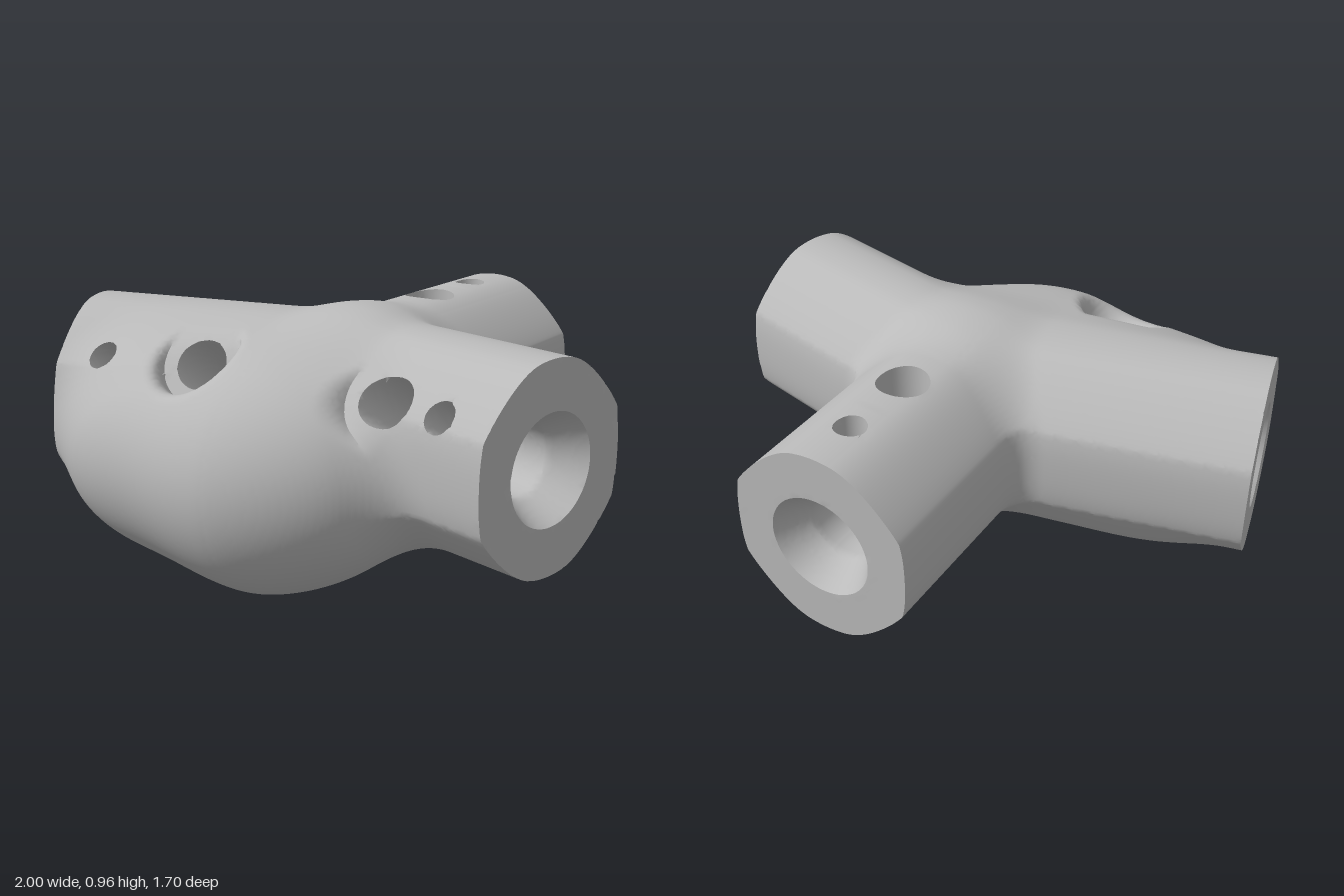
import * as THREE from 'three';
import { toCreasedNormals } from 'three/addons/utils/BufferGeometryUtils.js';

// Three arms meet at one hub. dir: axis, side: horizontal perpendicular, drill: screw hole direction
const HUB = new THREE.Vector3(0.085, 0.57, 0.087);
const UP = new THREE.Vector3(0, 1, 0);
function arm(dx, dz, length, sx, sz, drillAngle) {
  const side = new THREE.Vector3(sx, 0, sz);
  const drill = side.clone().multiplyScalar(Math.cos(drillAngle)).addScaledVector(UP, Math.sin(drillAngle));
  return { dx, dz, length, sx, sz, drill };
}
const ARMS = [
  arm(0.974, 0.227, 0.862, -0.227, 0.974, 0.56),
  arm(-0.974, 0.227, 1.037, 0.227, 0.974, 0.56),
  arm(0, -1, 0.937, 1, 0, Math.PI / 2),
];

// Solid-modelling helpers on signed distances
function smoothMin(a, b, k) {
  const h = Math.max(k - Math.abs(a - b), 0) / k;
  return Math.min(a, b) - h * h * k / 4;
}
const smoothMax = (a, b, k) => -smoothMin(-a, -b, k);
const ball = (x, y, z, cx, cy, cz, r) => Math.hypot(x - cx, y - cy, z - cz) - r;

// Radial hole drilled from an arm's axis outwards, beginning at height start
function drilled(A, a, s, t, along, radius, start) {
  const sinD = A.drill.y, cosD = Math.sqrt(Math.max(0, 1 - sinD * sinD));
  const out = s * cosD + t * sinD, across = t * cosD - s * sinD;
  return Math.max(Math.hypot(a - along, across) - radius, start - out);
}

function connector(x, y, z) {
  const px = x - HUB.x, t = y - HUB.y, pz = z - HUB.z;
  const local = ARMS.map((A) => [px * A.dx + pz * A.dz, px * A.sx + pz * A.sz]);

  // Arms: round bars, softly flattened at the sides and on the diagonals
  let body = 10;
  for (const [a, s] of local) {
    const round = Math.hypot(s, t, Math.min(a, 0)) - 0.35;
    const flat = Math.max(Math.abs(s) - 0.327, (Math.abs(s) + Math.abs(t)) * 0.7071 - 0.342);
    body = smoothMin(body, smoothMax(round, Math.max(flat, -a - 0.35), 0.05), 0.09);
  }

  // Swollen front: a main bulge easing into a lobe on one side and the arm on the other
  const main = smoothMin(
    ball(x, y, z, -0.05, 0.43, 0.415, 0.43),
    ball(x, y, z, 0.18, 0.47, 0.37, 0.335), 0.15);
  const bulge = smoothMin(main, ball(x, y, z, -0.53, 0.435, 0.42, 0.36), 0.28);
  body = smoothMin(body, bulge, 0.15);

  // Flat ends, tapered bores, screw holes and their recesses
  ARMS.forEach((A, i) => {
    const [a, s] = local[i];
    const depth = A.length - a, r = Math.hypot(s, t);
    body = smoothMax(body, -drilled(A, a, s, t, 0.445, 0.14, 0.385), 0.05);
    body = Math.max(body, -depth);
    const mouth = (r - 0.185 + depth * 0.54) * 0.88;
    const bore = Math.max(r - 0.12, 0.32 - a);
    const large = drilled(A, a, s, t, 0.445, 0.09, 0);
    const small = drilled(A, a, s, t, A.length - 0.2, 0.055, 0);
    body = Math.max(body, -Math.min(mouth, bore, large, small));
  });
  return body;
}

// Mesh the solid: one vertex per boundary cell, pulled onto the tangent planes of its edges
function meshSolid(field, min, max, step) {
  const n = [0, 1, 2].map((i) => Math.ceil((max[i] - min[i]) / step) + 1);
  const stride = [1, n[0], n[0] * n[1]];
  const values = new Float32Array(n[0] * n[1] * n[2]);
  const at = (i, j, k) => [min[0] + i * step, min[1] + j * step, min[2] + k * step];
  for (let k = 0, id = 0; k < n[2]; k++)
    for (let j = 0; j < n[1]; j++)
      for (let i = 0; i < n[0]; i++) values[id++] = field(...at(i, j, k));

  // Point and normal where a grid edge crosses the surface
  function crossing(corner, axis, inside) {
    let lo = 0, hi = step;
    const p = corner.slice();
    for (let i = 0; i < 10; i++) {
      const mid = (lo + hi) / 2;
      p[axis] = corner[axis] + mid;
      if ((field(...p) < 0) === inside) lo = mid; else hi = mid;
    }
    const e = 0.0002;
    const g = [0, 1, 2].map((i) => {
      const q = p.slice(), r = p.slice();
      q[i] += e; r[i] -= e;
      return field(...q) - field(...r);
    });
    const len = Math.hypot(...g) || 1;
    return { p, g: g.map((v) => v / len) };
  }
  const cache = new Map();
  function edge(id, ijk, axis) {
    const key = id * 3 + axis;
    if (!cache.has(key)) cache.set(key, crossing(at(...ijk), axis, values[id] < 0));
    return cache.get(key);
  }

  const cellVertex = new Int32Array(values.length).fill(-1);
  const positions = [], index = [];
  function placeVertex(i, j, k, id) {
    const hits = [];
    for (let axis = 0; axis < 3; axis++) {
      const b = (axis + 1) % 3, c = (axis + 2) % 3;
      for (let m = 0; m < 4; m++) {
        const corner = [i, j, k];
        corner[b] += m & 1;
        corner[c] += m >> 1;
        const e = id + (m & 1) * stride[b] + (m >> 1) * stride[c];
        if ((values[e] < 0) !== (values[e + stride[axis]] < 0)) hits.push(edge(e, corner, axis));
      }
    }
    if (!hits.length) return;
    const v = [0, 1, 2].map((d) => hits.reduce((sum, h) => sum + h.p[d], 0) / hits.length);
    const low = at(i, j, k);
    for (let pass = 0; pass < 30; pass++) {
      const move = [0, 0, 0];
      for (const { p, g } of hits) {
        const d = (v[0] - p[0]) * g[0] + (v[1] - p[1]) * g[1] + (v[2] - p[2]) * g[2];
        for (let a = 0; a < 3; a++) move[a] -= d * g[a] / hits.length;
      }
      for (let a = 0; a < 3; a++) v[a] = Math.min(Math.max(v[a] + move[a], low[a]), low[a] + step);
    }
    cellVertex[id] = positions.length / 3;
    positions.push(...v);
  }
  const cells = (visit) => {
    for (let k = 0; k < n[2] - 1; k++)
      for (let j = 0; j < n[1] - 1; j++)
        for (let i = 0; i < n[0] - 1; i++) visit(i, j, k, i + j * stride[1] + k * stride[2]);
  };
  cells(placeVertex);

  // Join the four cells round every crossed edge
  cells((i, j, k, id) => {
    for (let axis = 0; axis < 3; axis++) {
      const inside = values[id] < 0;
      if (inside === (values[id + stride[axis]] < 0)) continue;
      const b = stride[(axis + 1) % 3], c = stride[(axis + 2) % 3];
      const q = [id, id - b, id - b - c, id - c].map((cell) => cellVertex[cell]);
      if (q.some((v) => v === undefined || v < 0)) continue;
      if (!inside) q.reverse();
      index.push(q[0], q[1], q[2], q[0], q[2], q[3]);
    }
  });
  const geometry = new THREE.BufferGeometry();
  geometry.setAttribute('position', new THREE.Float32BufferAttribute(positions, 3));
  geometry.setIndex(index);
  return toCreasedNormals(geometry, 0.6);
}

export function createModel() {
  const group = new THREE.Group();
  group.name = 'threeWayConnector';
  const grey = new THREE.MeshStandardMaterial({ color: 0xbababa });
  grey.name = 'plain grey';
  const geometry = meshSolid(connector, [-1.043, -0.047, -0.893], [1.06, 1.03, 0.9], 0.0163);
  const body = new THREE.Mesh(geometry, grey);
  body.name = 'connectorBody';
  group.add(body);
  return group;
}
